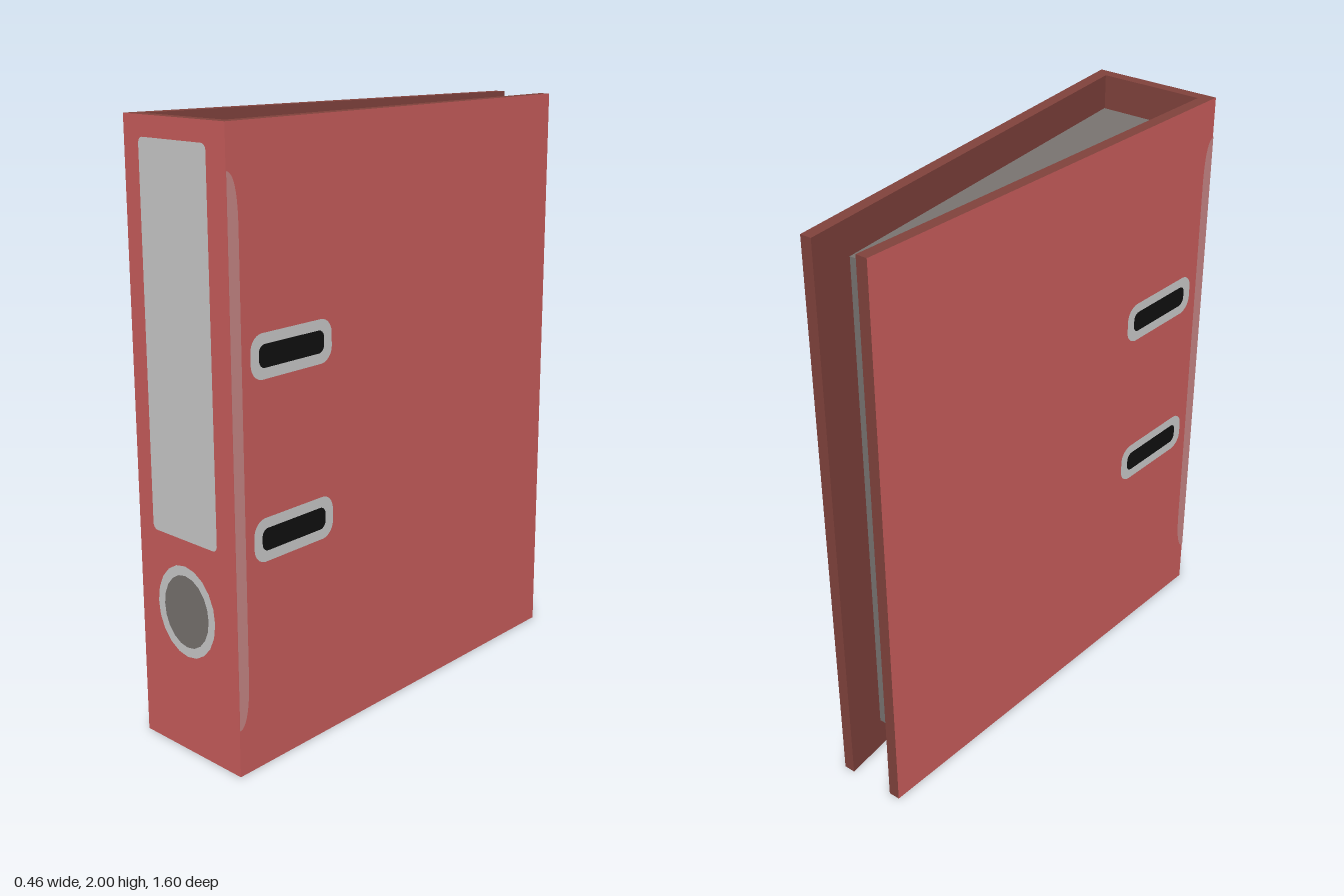
import * as THREE from 'three';

const mat = (name, color) => new THREE.MeshStandardMaterial({ name, color });

export function createModel() {
  const red = mat('red cover', 0xce605e);
  const lining = mat('brown lining', 0x82433d);
  const light = mat('light grey', 0xd0d0d0);
  const grey = mat('paper grey', 0x7a7572);
  const black = mat('black', 0x101010);
  const pink = mat('pale pink', 0xcd8a89);

  const model = new THREE.Group();
  model.name = 'ringBinder';

  const add = (parent, name, geometry, material) => {
    const mesh = new THREE.Mesh(geometry, material);
    mesh.name = name;
    parent.add(mesh);
    return mesh;
  };

  // Box whose left and right sides follow x = f(z), so it tapers to the back
  const taperedBox = (left, right, y0, y1, zBack, zFront) => {
    const g = new THREE.BoxGeometry(1, y1 - y0, zFront - zBack);
    g.translate(0, (y0 + y1) / 2, (zBack + zFront) / 2);
    const p = g.attributes.position;
    for (let i = 0; i < p.count; i++) {
      const z = p.getZ(i);
      p.setX(i, p.getX(i) < 0 ? left(z) : right(z));
    }
    g.computeVertexNormals();
    return g;
  };

  // Flat outlines
  const roundedRect = (cx, cy, w, h, r) => {
    const s = new THREE.Shape();
    const x = w / 2, y = h / 2;
    s.absarc(cx + x - r, cy + y - r, r, 0, Math.PI / 2);
    s.absarc(cx - x + r, cy + y - r, r, Math.PI / 2, Math.PI);
    s.absarc(cx - x + r, cy - y + r, r, Math.PI, Math.PI * 1.5);
    s.absarc(cx + x - r, cy - y + r, r, Math.PI * 1.5, Math.PI * 2);
    return s;
  };
  const ellipse = (cx, cy, rx, ry) => {
    const s = new THREE.Shape();
    s.absellipse(cx, cy, rx, ry, 0, Math.PI * 2);
    return s;
  };
  const plate = (shape, lift) => new THREE.ShapeGeometry(shape, 10).translate(0, 0, lift);

  // Straight lines in plan for the cover sides
  const line = (xFront, xBack) => (z) => xBack + (xFront - xBack) * (z + 0.8) / 1.6;
  const outerL = line(0.23, 0.113), innerL = line(0.187, 0.073);
  const outerR = line(-0.23, -0.13), innerR = line(-0.187, -0.09);

  // Covers and spine: red outside, brown inside and on the cut edges
  add(model, 'leftCover', taperedBox(innerL, outerL, 0, 2, -0.8, 0.76),
    [red, lining, lining, lining, lining, lining]);
  add(model, 'rightCover', taperedBox(outerR, innerR, 0, 2, -0.8, 0.76),
    [lining, red, lining, lining, lining, lining]);
  add(model, 'spine', taperedBox(outerR, outerL, 0, 2, 0.76, 0.8),
    [red, red, lining, lining, red, lining]);

  // Paper stack filling the space between the covers
  add(model, 'paperStack', taperedBox(innerR, innerL, 0.115, 1.883, -0.645, 0.758), grey);

  // Spine label and finger hole
  const front = new THREE.Group();
  front.name = 'spineDetails';
  front.position.z = 0.8;
  model.add(front);
  add(front, 'spineLabel', plate(roundedRect(-0.006, 1.327, 0.307, 1.217, 0.02), 0.002), light);
  const ring = ellipse(-0.009, 0.48, 0.138, 0.152);
  ring.holes.push(ellipse(-0.009, 0.48, 0.107, 0.12));
  add(front, 'fingerHoleRing', plate(ring, 0.002), light);
  add(front, 'fingerHole', plate(ellipse(-0.009, 0.48, 0.107, 0.12), 0.002), grey);

  // Slots and edge strip on each cover; u runs backwards from the spine
  for (const side of [1, -1]) {
    const outer = side > 0 ? outerL : outerR;
    const details = new THREE.Group();
    details.name = side > 0 ? 'leftCoverDetails' : 'rightCoverDetails';
    details.position.set(outer(0.8), 0, 0.8);
    details.rotation.y = Math.atan2(side * 1.6, -Math.abs(outer(0.8) - outer(-0.8)));
    model.add(details);

    for (const y of [0.745, 1.315]) {
      const u = side * 0.257;
      const rim = roundedRect(u, y, 0.355, 0.14, 0.05);
      rim.holes.push(roundedRect(u, y, 0.285, 0.072, 0.025));
      add(details, 'slotRim', plate(rim, 0.002), light);
      add(details, 'slot', plate(roundedRect(u, y, 0.285, 0.072, 0.025), 0.002), black);
    }

    const strip = new THREE.Shape();
    strip.moveTo(0, 0.155);
    strip.bezierCurveTo(side * 0.03, 0.16, side * 0.043, 0.22, side * 0.043, 0.32);
    strip.lineTo(side * 0.043, 1.7);
    strip.bezierCurveTo(side * 0.043, 1.8, side * 0.03, 1.86, 0, 1.865);
    add(details, 'edgeStrip', plate(strip, 0.002), pink);
  }

  return model;
}
